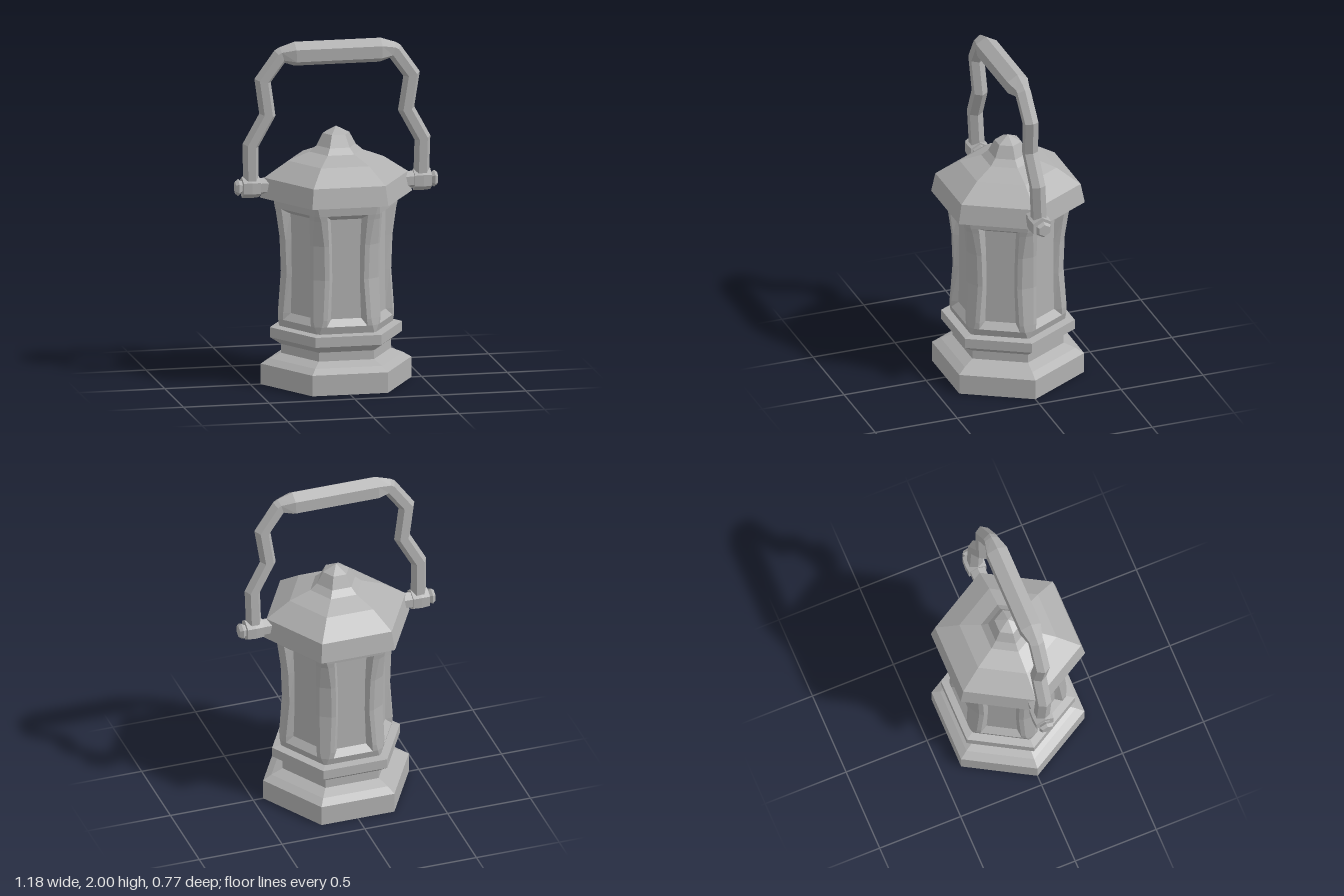
import * as THREE from 'three';

const iron = new THREE.MeshStandardMaterial({ color: 0xb0b0b0, flatShading: true });
iron.name = 'grey iron';

function addMesh(parent, geometry, name) {
  const mesh = new THREE.Mesh(geometry, iron);
  mesh.name = name;
  parent.add(mesh);
  return mesh;
}

// Six-sided turned solid with corners on +x and -x
function hexLathe(profile) {
  return new THREE.LatheGeometry(profile.map(p => new THREE.Vector2(p[0], p[1])), 6, Math.PI / 2);
}

// Geometry from a grid of points; rows run upwards, columns left to right
function gridGeometry(rows) {
  const pos = [];
  for (let r = 0; r + 1 < rows.length; r++) {
    for (let c = 0; c + 1 < rows[r].length; c++) {
      const a = rows[r][c], b = rows[r][c + 1], d = rows[r + 1][c + 1], e = rows[r + 1][c];
      pos.push(...a, ...b, ...d, ...a, ...d, ...e);
    }
  }
  const g = new THREE.BufferGeometry();
  g.setAttribute('position', new THREE.Float32BufferAttribute(pos, 3));
  g.computeVertexNormals();
  return g;
}

// Hexagonal bar swept along a path in the xy plane, with mitred joints; points are [x, y, radius]
function sweepBar(path) {
  const dir = (a, b) => new THREE.Vector2(b[0] - a[0], b[1] - a[1]).normalize();
  const rows = path.map((p, i) => {
    const before = dir(path[Math.max(i - 1, 0)], path[Math.max(i, 1)]);
    const last = path.length - 1;
    const after = dir(path[Math.min(i, last - 1)], path[Math.min(i + 1, last)]);
    const t = before.clone().add(after).normalize();
    const stretch = 1 / t.dot(before);
    const ring = [];
    for (let k = 0; k <= 6; k++) {
      const a = k * Math.PI / 3;
      const n = Math.cos(a) * p[2] * stretch;
      ring.push([p[0] + t.y * n, p[1] - t.x * n, -Math.sin(a) * p[2]]);
    }
    return ring;
  });
  return gridGeometry(rows);
}

// Waisted body: per row [y, face distance, corner cut, opening half width, pane half width]
const PANE_Z = 0.268;
const bodyRows = [
  [0.33, 0.288, 0.004, 0.118, null],
  [0.38, 0.301, 0.025, 0.118, null],
  [0.42, 0.303, 0.035, 0.115, 0.088],
  [0.65, 0.290, 0.040, 0.100, 0.080],
  [0.85, 0.296, 0.038, 0.105, 0.083],
  [1.00, 0.311, 0.025, 0.116, 0.090],
  [1.03, 0.315, 0.018, 0.120, null],
  [1.095, 0.320, 0.006, 0.120, null],
];
const edgeOf = ([, f, cut]) => f * Math.tan(Math.PI / 6) - cut;

function createBody() {
  const body = new THREE.Group();
  body.name = 'body';

  // Framed side with a recessed pane
  const side = gridGeometry(bodyRows.map(row => {
    const [y, f, , h, pane] = row;
    const e = edgeOf(row);
    const i = pane ?? h;
    const z = pane === null ? f : PANE_Z;
    return [[-e, y, f], [-h, y, f], [-i, y, z], [i, y, z], [h, y, f], [e, y, f]];
  }));

  // Chamfered corner post joining one side to the next
  const c = Math.cos(Math.PI / 3), s = Math.sin(Math.PI / 3);
  const post = gridGeometry(bodyRows.map(row => {
    const [y, f] = row;
    const e = edgeOf(row);
    return [[e, y, f], [-e * c + f * s, y, e * s + f * c]];
  }));

  for (let k = 0; k < 6; k++) {
    addMesh(body, side, 'framedPane').rotation.y = k * Math.PI / 3;
    addMesh(body, post, 'cornerPost').rotation.y = k * Math.PI / 3;
  }
  return body;
}

export function createModel() {
  const lantern = new THREE.Group();
  lantern.name = 'lantern';

  // Stepped foot and collar
  addMesh(lantern, hexLathe([
    [0, 0], [0.44, 0], [0.44, 0.12], [0.39, 0.15], [0.322, 0.178], [0.322, 0.23],
    [0.386, 0.272], [0.386, 0.33], [0.33, 0.338], [0, 0.338],
  ]), 'base');

  lantern.add(createBody());

  // Roof with eaves and finial
  addMesh(lantern, hexLathe([
    [0, 1.085], [0.37, 1.085], [0.444, 1.09], [0.42, 1.205], [0.28, 1.298], [0.155, 1.345],
    [0.115, 1.38], [0.078, 1.45], [0, 1.49],
  ]), 'roof');

  // Pivots on both sides: pin, knuckle and bolt head
  const pivot = hexLathe([
    [0, 0.35], [0.05, 0.35], [0.05, 0.45], [0.062, 0.45], [0.066, 0.5], [0.062, 0.55],
    [0.036, 0.55], [0.036, 0.555], [0.05, 0.572], [0.036, 0.59], [0, 0.59],
  ]);
  pivot.rotateZ(-Math.PI / 2);
  for (const side of [0, 1]) {
    const p = addMesh(lantern, pivot, side ? 'rightPivot' : 'leftPivot');
    p.position.y = 1.155;
    p.rotation.y = side * Math.PI;
  }

  // Carrying handle, leaning slightly forwards
  const handle = new THREE.Group();
  handle.name = 'handle';
  handle.position.y = 1.155;
  handle.rotation.x = 0.045;
  const half = [
    [-0.497, 0, 0.046], [-0.502, 0.245, 0.046], [-0.405, 0.422, 0.046],
    [-0.435, 0.625, 0.046], [-0.335, 0.765, 0.047],
  ];
  const grip = [[-0.325, 0.771, 0.047], [-0.25, 0.775, 0.071]];
  const mirror = pts => pts.map(([x, y, r]) => [-x, y, r]).reverse();
  const leftArm = [...half, grip[0]];
  addMesh(handle, sweepBar([...leftArm, ...grip.slice(1), ...mirror(grip.slice(1)), ...mirror(leftArm)]), 'handleBar');
  lantern.add(handle);

  return lantern;
}
